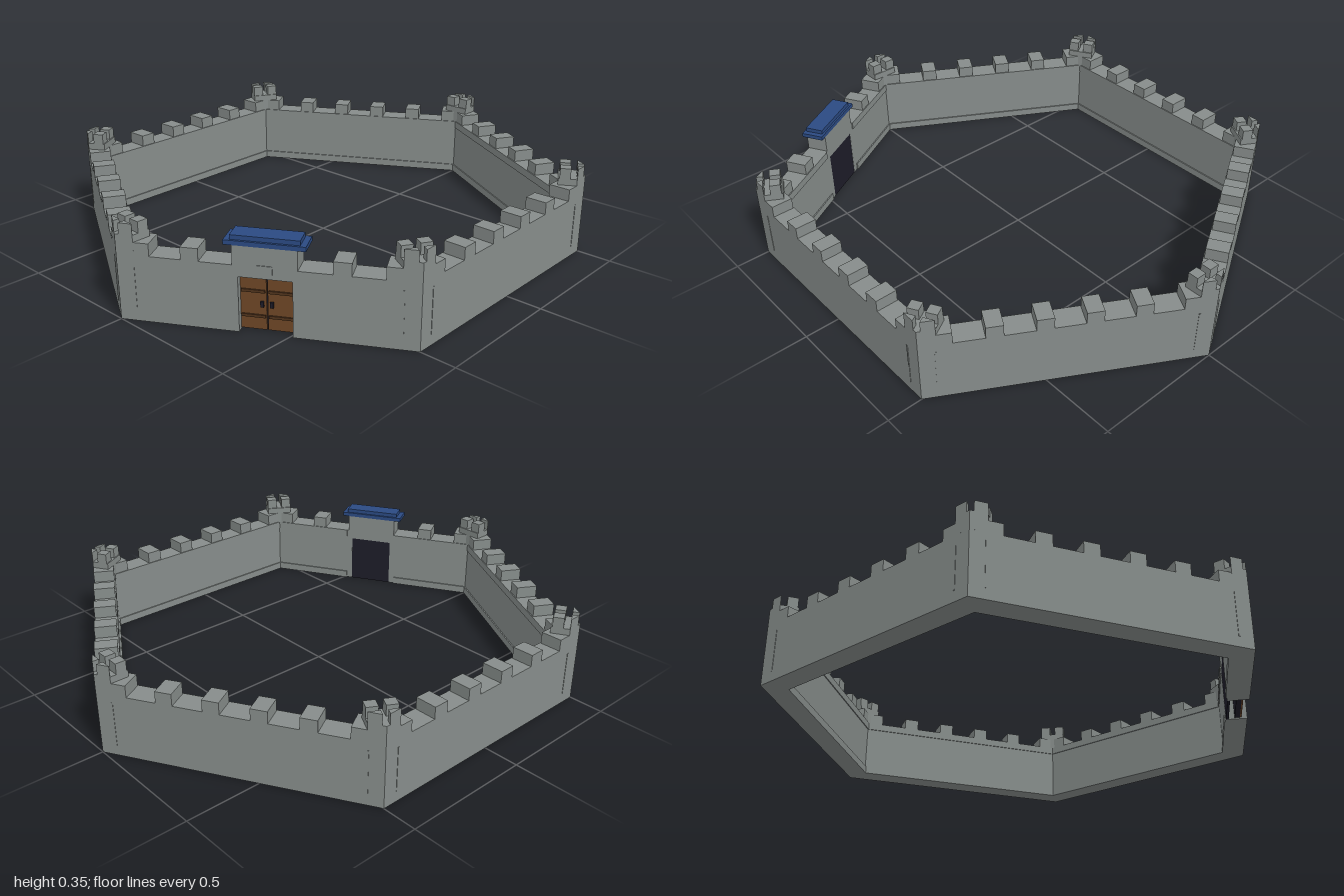
import * as THREE from 'three';

const mat = (name, color) => {
  const m = new THREE.MeshStandardMaterial({ color });
  m.name = name;
  return m;
};

const OUT = 0.866, IN = 0.784, TOP = 0.24; // wall faces from the centre, walkway height
const SLOPE = 1 / Math.sqrt(3);            // mitre of the 60 degree corners
const DOOR = 0.09, DOOR_TOP = 0.2;         // half width and height of the gate opening

export function createModel() {
  const stone = mat('stone', 0x868c8a);
  const blue = mat('roof blue', 0x2b4a82);
  const wood = mat('door wood', 0x6d4626);
  const darkWood = mat('door strap', 0x50331c);
  const dark = mat('gate shadow', 0x1d1c28);

  // Upright prism from a plan outline of [sideways, outward] points
  function prism(parent, name, points, y0, y1, material = stone) {
    const shape = new THREE.Shape(points.map(([s, d]) => new THREE.Vector2(s, -d)));
    const geo = new THREE.ExtrudeGeometry(shape, { depth: y1 - y0, bevelEnabled: false });
    geo.rotateX(-Math.PI / 2).translate(0, y0, 0);
    const mesh = new THREE.Mesh(geo, material);
    mesh.name = name;
    parent.add(mesh);
  }

  function box(parent, name, w, h, d, x, y, z, material = stone) {
    const mesh = new THREE.Mesh(new THREE.BoxGeometry(w, h, d), material);
    mesh.name = name;
    mesh.position.set(x, y, z);
    parent.add(mesh);
  }

  // Mitred strip of wall between two depths, with an optional gap in the middle
  function strip(parent, name, d0, d1, y0, y1, gap) {
    const a = d0 * SLOPE, b = d1 * SLOPE;
    if (!gap) return prism(parent, name, [[-a, d0], [a, d0], [b, d1], [-b, d1]], y0, y1);
    for (const m of [-1, 1]) {
      prism(parent, name, [[m * gap, d0], [m * a, d0], [m * b, d1], [m * gap, d1]], y0, y1);
    }
  }

  function makeWall(hasGate) {
    const wall = new THREE.Group();
    wall.name = hasGate ? 'gateWall' : 'wall';
    if (hasGate) {
      strip(wall, 'wallBody', IN, OUT, 0, DOOR_TOP, DOOR);
      strip(wall, 'wallTop', IN, OUT, DOOR_TOP, TOP);
    } else {
      strip(wall, 'wallBody', IN, OUT, 0, TOP);
    }
    // ledges along the inner face
    const gap = hasGate ? 0.115 : 0;
    strip(wall, 'innerPlinth', IN - 0.005, IN, 0, 0.03, gap);
    strip(wall, 'innerCornice', IN - 0.004, IN, 0.21, TOP, gap);
    for (const m of [-1, 1]) {
      box(wall, 'edgeStrip', 0.006, 0.17, 0.003, m * 0.443, 0.125, OUT);
    }
    // battlements
    for (let i = 0; i < 6; i++) {
      const x = (i - 2.5) / 6;
      if (hasGate && Math.abs(x) < 0.1) continue;
      box(wall, 'merlon', 0.06, 0.045, OUT - IN, x, TOP + 0.0225, (OUT + IN) / 2);
    }
    return wall;
  }

  function makeGate() {
    const gate = new THREE.Group();
    gate.name = 'gate';
    const mid = (OUT + IN) / 2;
    box(gate, 'gateHead', 0.215, 0.07, 0.083, 0, 0.275, mid);
    box(gate, 'roofSlab', 0.27, 0.016, 0.087, 0, 0.318, mid, blue);
    box(gate, 'roofCap', 0.23, 0.016, 0.071, 0, 0.334, mid, blue);
    box(gate, 'plaque', 0.05, 0.03, 0.006, 0, 0.232, OUT);
    box(gate, 'innerPanel', 2 * DOOR, DOOR_TOP, 0.01, 0, DOOR_TOP / 2, IN + 0.006, dark);
    const face = OUT - 0.022;
    box(gate, 'doorGap', 2 * DOOR, 0.195, 0.02, 0, 0.1025, face - 0.016, dark);
    for (const m of [-1, 1]) {
      box(gate, 'doorLeaf', 0.087, 0.193, 0.02, m * 0.0455, 0.1025, face - 0.01, wood);
      for (const y of [0.055, 0.145]) {
        box(gate, 'doorStrap', 0.08, 0.01, 0.006, m * 0.046, y, face + 0.002, darkWood);
      }
      box(gate, 'doorHandle', 0.011, 0.02, 0.008, m * 0.016, 0.1, face + 0.004, dark);
    }
    return gate;
  }

  // Corner turret: outward edge follows the corner of the wall ring
  function makeTurret() {
    const turret = new THREE.Group();
    turret.name = 'cornerTurret';
    const edge = (t) => 1 - t * SLOPE;
    const w = 0.053, n = 0.012;
    prism(turret, 'turretBlock',
      [[-w, 0.9], [w, 0.9], [w, edge(w)], [0, 1], [-w, edge(w)]], TOP, 0.31);
    for (const m of [-1, 1]) {
      box(turret, 'innerProng', 0.041, 0.04, 0.04, m * 0.0325, 0.33, 0.925);
      prism(turret, 'outerProng',
        [[m * n, 0.968], [m * w, 0.968], [m * w, edge(w)], [m * n, edge(n)]], 0.31, 0.35);
    }
    return turret;
  }

  const model = new THREE.Group();
  model.name = 'castleWalls';
  for (let i = 0; i < 6; i++) {
    const wall = makeWall(i === 0);
    if (i === 0) wall.add(makeGate());
    wall.rotation.y = (i + 0.5) * Math.PI / 3;
    const turret = makeTurret();
    turret.rotation.y = i * Math.PI / 3;
    model.add(wall, turret);
  }
  return model;
}
